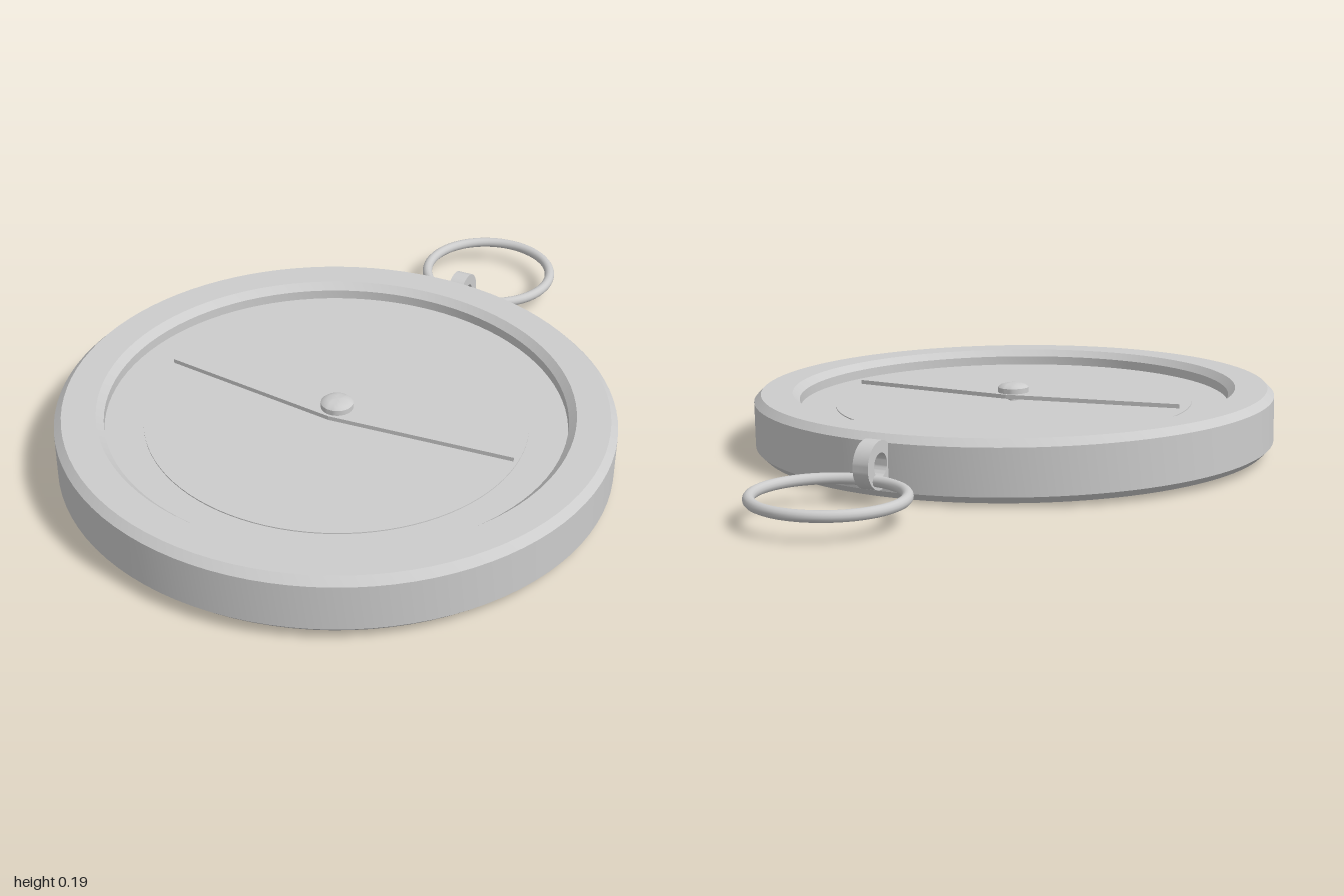
import * as THREE from 'three';
import { toCreasedNormals } from 'three/addons/utils/BufferGeometryUtils.js';

export function createModel() {
  const model = new THREE.Group();
  model.name = 'compass';
  const metal = new THREE.MeshStandardMaterial({ name: 'grey metal', color: 0xcccccc });

  const add = (parent, name, geometry, x = 0, y = 0, z = 0) => {
    const mesh = new THREE.Mesh(geometry, metal);
    mesh.name = name;
    mesh.position.set(x, y, z);
    parent.add(mesh);
    return mesh;
  };
  const lathe = (points, segments) => toCreasedNormals(
    new THREE.LatheGeometry(points.map(([r, y]) => new THREE.Vector2(r, y)), segments), 0.5);

  // Body group rests with a very slight tilt
  const body = new THREE.Group();
  body.name = 'body';
  body.position.set(0, 0.013, 0.232);
  body.rotation.set(-0.012, 0, -0.0115);
  model.add(body);

  // Chamfered round case with a recessed floor
  add(body, 'case', lathe([
    [0, 0], [0.742, 0], [0.762, 0.02], [0.762, 0.15], [0.742, 0.17],
    [0.65, 0.17], [0.63, 0.15], [0.63, 0.123], [0, 0.123],
  ], 96));

  // Thin raised dial plate
  add(body, 'dial', lathe([[0.525, 0.122], [0.525, 0.126], [0, 0.126]], 96));

  // Diamond needle
  const diamond = new THREE.Shape([
    new THREE.Vector2(-0.52, 0), new THREE.Vector2(0, -0.053),
    new THREE.Vector2(0.52, 0), new THREE.Vector2(0, 0.053),
  ]);
  const needle = new THREE.ExtrudeGeometry(diamond, { depth: 0.012, bevelEnabled: false });
  needle.rotateX(-Math.PI / 2);
  add(body, 'needle', needle, 0, 0.138, 0);

  // Pivot pin and its domed cap
  add(body, 'pivotPin', new THREE.CylinderGeometry(0.015, 0.015, 0.03, 16), 0, 0.135, 0);
  add(body, 'pivotCap', lathe([
    [0, 0.149], [0.045, 0.149], [0.045, 0.165], [0.038, 0.171], [0.026, 0.175], [0.013, 0.177], [0, 0.178],
  ], 32));

  // Upright eyelet on the back of the case
  const eye = new THREE.Shape().absarc(0, 0, 0.065, 0, Math.PI * 2, false);
  eye.holes.push(new THREE.Path().absarc(0, 0, 0.033, 0, Math.PI * 2, true));
  const eyelet = new THREE.ExtrudeGeometry(eye, { depth: 0.045, bevelEnabled: false, curveSegments: 28 });
  eyelet.translate(0, 0, -0.0225);
  eyelet.rotateY(Math.PI / 2);
  add(model, 'eyelet', toCreasedNormals(eyelet, 0.5), 0.02, 0.103, -0.57);

  // Loose carrying ring lying flat through the eyelet
  const ring = new THREE.TorusGeometry(0.195, 0.015, 14, 64);
  ring.rotateX(Math.PI / 2);
  add(model, 'ring', ring, 0.02, 0.067, -0.79);

  return model;
}
